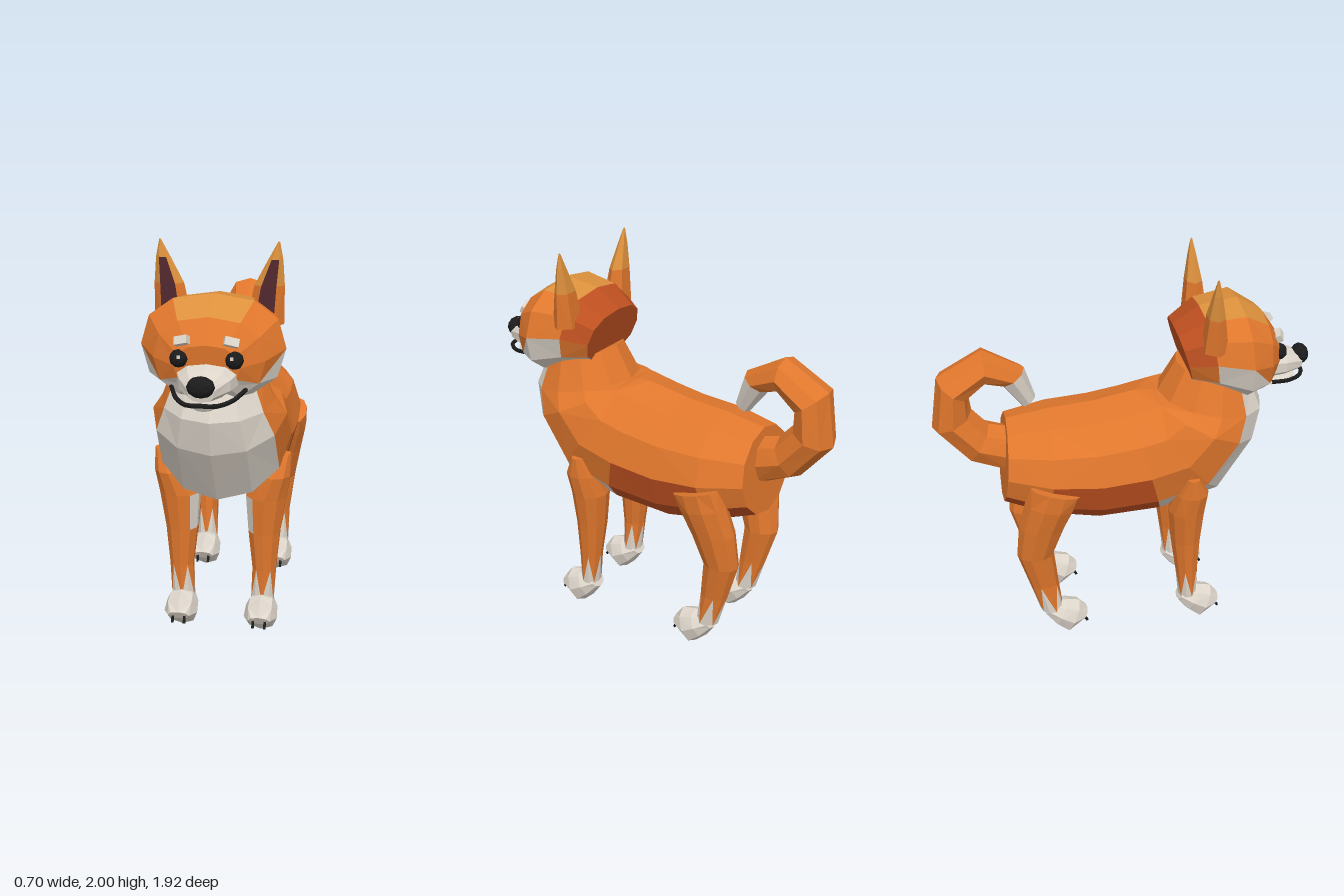
import * as THREE from 'three';

const mat = (name, color) => Object.assign(new THREE.MeshStandardMaterial({ color }), { name });

const M = {
  orange: mat('orange fur', 0xe0772d),
  rust: mat('rust fur', 0xbe5020),
  amber: mat('amber fur', 0xdc903c),
  cream: mat('cream fur', 0xddd5ca),
  black: mat('black', 0x1b1b1c),
  maroon: mat('inner ear maroon', 0x4e262c),
};

// Faceted skin over elliptical cross-sections. A ring is [z1, y1, z2, y2, halfWidth, x]:
// two opposite points in the side plane, plus its width. pick(i, j, k, centre) names the colour.
function loft(name, rings, n, pick, { side = 1, power = 1 } = {}) {
  const round = (t) => Math.sign(t) * Math.abs(t) ** power;
  const pts = rings.map(([z1, y1, z2, y2, hw, x = 0]) =>
    Array.from({ length: n }, (_, j) => {
      const a = (j / n) * Math.PI * 2;
      const c = round(Math.cos(a)) / 2, s = round(Math.sin(a));
      return new THREE.Vector3(side * (x + hw * s), (y1 + y2) / 2 + (y1 - y2) * c, (z1 + z2) / 2 + (z1 - z2) * c);
    }));
  return skin(name, pts, n, pick);
}

// Joins rings of points with triangles, closes both ends and groups the faces by colour.
function skin(name, pts, n, pick) {
  const faces = [];
  const add = (i, j, k, a, b, c) => {
    const centre = new THREE.Vector3().add(a).add(b).add(c).divideScalar(3);
    faces.push({ v: [a, b, c], color: pick(i, j, k, centre) });
  };
  const last = pts.length - 1;
  const mid = (r) => r.reduce((s, p) => s.add(p), new THREE.Vector3()).divideScalar(n);
  const m0 = mid(pts[0]), m1 = mid(pts[last]);
  for (let j = 0; j < n; j++) {
    const q = (j + 1) % n;
    add(-1, j, 0, m0, pts[0][q], pts[0][j]);
    add(last, j, 0, m1, pts[last][j], pts[last][q]);
    for (let i = 0; i < last; i++) {
      const A = pts[i][j], B = pts[i][q], C = pts[i + 1][j], D = pts[i + 1][q];
      if ((i + j) % 2) { add(i, j, 0, A, B, D); add(i, j, 1, A, D, C); }
      else { add(i, j, 0, A, B, C); add(i, j, 1, B, D, C); }
    }
  }
  // Turn all faces outward
  const volume = faces.reduce((s, { v }) => s + v[0].clone().sub(m0).dot(v[1].clone().sub(m0).cross(v[2].clone().sub(m0))), 0);
  if (volume < 0) faces.forEach((f) => f.v.reverse());
  const names = [...new Set(faces.map((f) => f.color))];
  const geo = new THREE.BufferGeometry();
  const out = [];
  names.forEach((color, m) => {
    const start = out.length;
    faces.filter((f) => f.color === color).forEach((f) => out.push(...f.v));
    geo.addGroup(start, out.length - start, m);
  });
  geo.setFromPoints(out);
  geo.computeVertexNormals();
  const mesh = new THREE.Mesh(geo, names.map((c) => M[c]));
  mesh.name = name;
  return mesh;
}

function part(name, geo, color, pos, scale = [1, 1, 1], rot = [0, 0, 0]) {
  const flat = geo.index ? geo.toNonIndexed() : geo;
  flat.computeVertexNormals();
  const mesh = new THREE.Mesh(flat, M[color]);
  mesh.name = name;
  mesh.position.set(...pos);
  mesh.scale.set(...scale);
  mesh.rotation.set(...rot);
  return mesh;
}

function makeLeg(name, rings, pawShift, side, creamInside) {
  const g = new THREE.Group();
  g.name = name;
  // Cream spikes run up from the paw
  g.add(loft(name + 'Limb', rings, 10, (i, j, k, c) => {
    if (i === 5 || (i === 4 && k === 1)) return 'cream';
    return creamInside && i === 2 && c.x * side < 0.175 ? 'cream' : 'orange';
  }, { side }));
  const paw = [
    [0.30, 0.19, 0.26, 0.13, 0.05], [0.38, 0.20, 0.31, 0.06, 0.08],
    [0.45, 0.185, 0.37, 0.005, 0.085], [0.49, 0.13, 0.46, 0.08, 0.055],
  ].map(([z1, y1, z2, y2, hw]) => [z1 + pawShift, y1, z2 + pawShift, y2, hw, 0.205]);
  g.add(loft(name + 'Paw', paw, 8, () => 'cream', { side }));
  for (const dx of [-0.03, 0.03]) {
    g.add(part(name + 'Claw', new THREE.BoxGeometry(0.012, 0.045, 0.012), 'black',
      [side * 0.205 + dx, 0.086, 0.474 + pawShift], [1, 1, 1], [-0.5, 0, 0]));
  }
  return g;
}

// Six-sided tapering ear with a dark front face
function makeEar(side) {
  const rings = [[0.215, 1.62, 0.41, 0.09, 0.068], [0.235, 1.80, 0.405, 0.07, 0.045],
    [0.262, 1.92, 0.402, 0.034, 0.022], [0.276, 2.0, 0.40, 0.004, 0.004]];
  const pts = rings.map(([x, y, z, hx, hz]) => Array.from({ length: 6 }, (_, j) => {
    const a = (j / 6) * Math.PI * 2;
    return new THREE.Vector3(side * (x + hx * Math.cos(a)), y, z + hz * Math.sin(a));
  }));
  return skin('ear', pts, 6, (i, j) => {
    if (j === 1 && (i === 0 || i === 1)) return 'maroon';
    return i >= 1 ? 'amber' : 'orange';
  });
}

export function createModel() {
  const model = new THREE.Group();
  model.name = 'dog';

  // Neck, chest and trunk
  model.add(loft('body', [
    [0.27, 1.47, 0.66, 1.36, 0.21], [0.18, 1.31, 0.72, 1.22, 0.27],
    [0.13, 1.32, 0.68, 1.05, 0.325], [0.06, 1.32, 0.50, 0.76, 0.335],
    [0.0, 1.31, 0.18, 0.66, 0.33], [-0.16, 1.28, -0.15, 0.645, 0.33],
    [-0.38, 1.26, -0.42, 0.70, 0.32], [-0.595, 1.225, -0.635, 0.78, 0.245],
  ], 12, (i, j) => {
    const fromBelly = j < 6 ? 5 - j : j - 6;
    if (i === 7) return 'orange';
    if (fromBelly < (i < 3 ? 2 : 1)) return 'cream';
    if (i === 3 && fromBelly === 1) return 'cream';
    if ((i === 4 || i === 5) && fromBelly < 3) return 'rust';
    return i === 6 && fromBelly === 1 ? 'rust' : 'orange';
  }));

  // Curled tail with a cream tip
  model.add(loft('tail', [
    [-0.60, 0.93, -0.56, 1.17, 0.11], [-0.80, 1.02, -0.68, 1.20, 0.125],
    [-0.96, 1.21, -0.76, 1.29, 0.13], [-0.92, 1.48, -0.77, 1.37, 0.13],
    [-0.69, 1.61, -0.69, 1.44, 0.115], [-0.49, 1.50, -0.61, 1.42, 0.085],
    [-0.44, 1.34, -0.51, 1.29, 0.045],
  ], 8, (i) => (i >= 5 ? 'cream' : 'orange')));

  // Head with amber crown, rust nape and cream cheeks
  const head = new THREE.Group();
  head.name = 'head';
  model.add(head);
  head.add(loft('skull', [
    [0.25, 1.67, 0.33, 1.40, 0.22], [0.38, 1.76, 0.45, 1.365, 0.285],
    [0.57, 1.79, 0.60, 1.31, 0.335], [0.70, 1.71, 0.70, 1.33, 0.255],
    [0.775, 1.60, 0.755, 1.40, 0.15],
  ], 12, (i, j, k, c) => {
    const fromTop = j < 6 ? j : 11 - j;
    if (i === -1) return 'rust';
    if (i === 4) return 'orange';
    if (fromTop > 3) return 'cream';
    if (i === 0) return fromTop < 3 ? 'rust' : 'orange';
    if (fromTop === 3) return i < 3 && c.z < 0.64 ? 'cream' : 'orange';
    return fromTop === 0 && i < 3 ? 'amber' : 'orange';
  }, { power: 0.85 }));

  // Muzzle, jaw, mouth and nose
  head.add(loft('muzzle', [
    [0.70, 1.53, 0.70, 1.37, 0.16], [0.82, 1.50, 0.82, 1.37, 0.12], [0.92, 1.46, 0.91, 1.38, 0.06],
  ], 10, () => 'cream', { power: 0.85 }));
  head.add(loft('jaw', [
    [0.68, 1.38, 0.66, 1.31, 0.13], [0.80, 1.365, 0.78, 1.315, 0.09], [0.89, 1.36, 0.87, 1.325, 0.04],
  ], 8, () => 'cream'));
  const smile = new THREE.CatmullRomCurve3([
    [-0.17, 1.39, 0.72], [-0.125, 1.37, 0.83], [-0.06, 1.365, 0.91], [0, 1.37, 0.925],
    [0.06, 1.365, 0.91], [0.125, 1.37, 0.83], [0.17, 1.39, 0.72],
  ].map((p) => new THREE.Vector3(...p)));
  head.add(part('mouth', new THREE.TubeGeometry(smile, 16, 0.011, 5), 'black', [0, 0, 0]));
  head.add(part('nose', new THREE.IcosahedronGeometry(1, 1), 'black', [0, 1.452, 0.918], [0.064, 0.05, 0.043]));

  // Hind and front limb cross-sections, hip to ankle
  const front = [
    [0.34, 0.95, 0.28, 0.95, 0.03, 0.31], [0.40, 0.84, 0.23, 0.84, 0.08, 0.262],
    [0.395, 0.72, 0.20, 0.72, 0.105, 0.218], [0.38, 0.53, 0.22, 0.53, 0.083, 0.21],
    [0.37, 0.33, 0.25, 0.33, 0.062, 0.212], [0.37, 0.16, 0.27, 0.16, 0.06, 0.205],
  ];
  const hind = [
    [-0.26, 0.91, -0.51, 0.98, 0.06, 0.295], [-0.29, 0.82, -0.54, 0.88, 0.09, 0.262],
    [-0.34, 0.70, -0.575, 0.72, 0.09, 0.235], [-0.40, 0.53, -0.59, 0.53, 0.075, 0.215],
    [-0.38, 0.33, -0.53, 0.33, 0.057, 0.207], [-0.36, 0.16, -0.48, 0.16, 0.058, 0.205],
  ];

  for (const side of [1, -1]) {
    const label = side > 0 ? 'left' : 'right';
    model.add(makeLeg(label + 'FrontLeg', front, 0, side, true));
    model.add(makeLeg(label + 'HindLeg', hind, -0.72, side, false));
    head.add(makeEar(side));
    head.add(part('eye', new THREE.IcosahedronGeometry(1, 1), 'black', [side * 0.125, 1.535, 0.765], [0.042, 0.042, 0.04]));
    head.add(part('eyeGlint', new THREE.BoxGeometry(0.014, 0.014, 0.008), 'cream', [side * 0.118, 1.55, 0.801]));
    head.add(part('brow', new THREE.BoxGeometry(0.065, 0.038, 0.035), 'cream',
      [side * 0.11, 1.615, 0.762], [1, 1, 1], [-0.5, side * 0.35, side * -0.1]));
  }
  return model;
}
